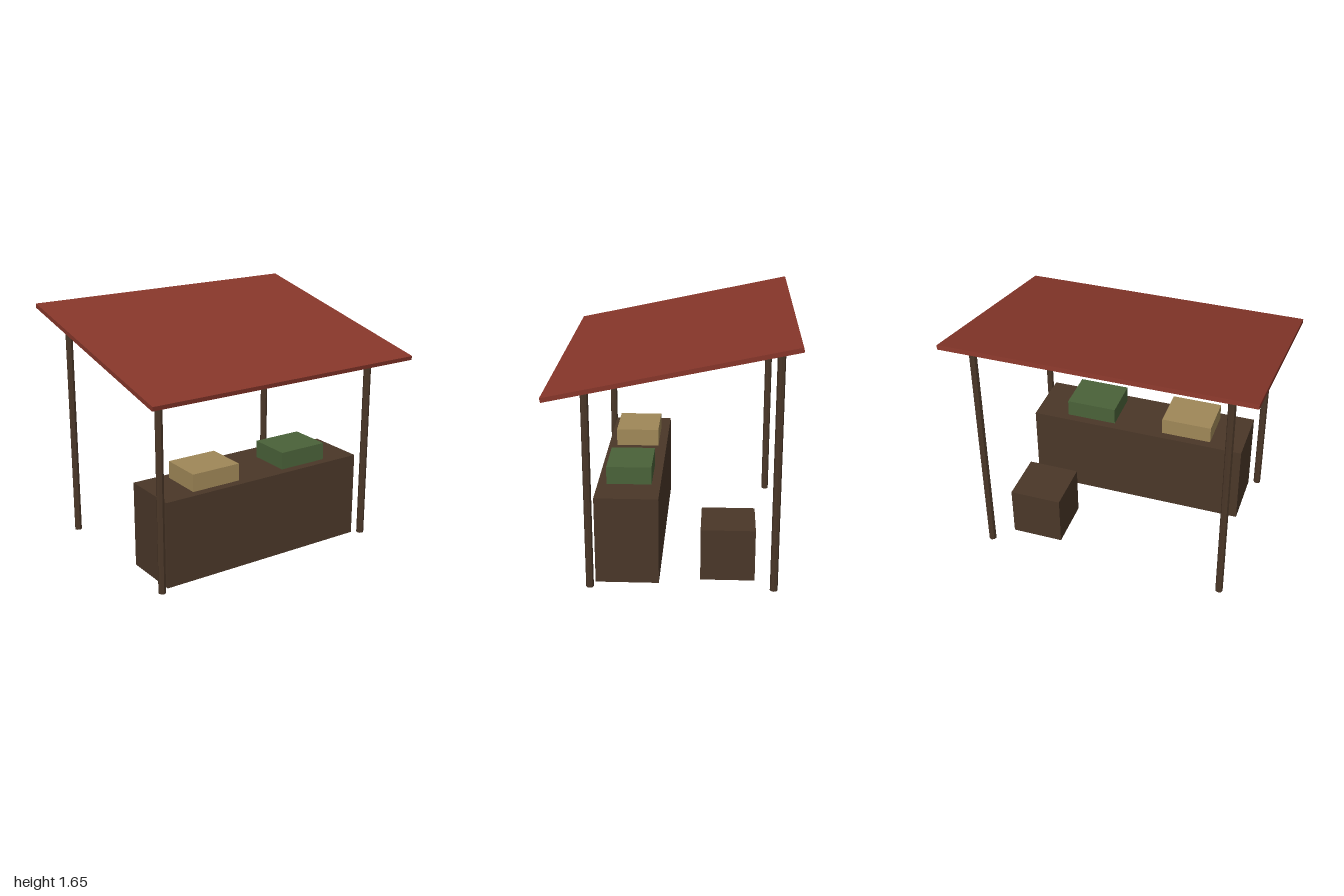
import * as THREE from 'three';

const wood = new THREE.MeshStandardMaterial({ name: 'darkWood', color: 0x4a3728 });
const red = new THREE.MeshStandardMaterial({ name: 'roofRed', color: 0x86362a });
const straw = new THREE.MeshStandardMaterial({ name: 'straw', color: 0xa08858 });
const green = new THREE.MeshStandardMaterial({ name: 'green', color: 0x4a6239 });

export function createModel() {
  const stall = new THREE.Group();
  stall.name = 'marketStall';

  const add = (name, geometry, material, x, y, z) => {
    const mesh = new THREE.Mesh(geometry, material);
    mesh.name = name;
    mesh.position.set(x, y, z);
    stall.add(mesh);
    return mesh;
  };
  // Box resting on height y
  const box = (name, material, w, h, d, x, y, z) =>
    add(name, new THREE.BoxGeometry(w, h, d), material, x, y + h / 2, z);

  // Counter, goods on top and the stool behind it
  box('counter', wood, 1.53, 0.588, 0.41, 0, 0, 0.294);
  box('strawCrate', straw, 0.353, 0.118, 0.294, -0.353, 0.588, 0.294);
  box('greenCrate', green, 0.353, 0.118, 0.294, 0.353, 0.588, 0.294);
  box('stool', wood, 0.353, 0.353, 0.353, 0.53, 0, -0.353);

  // Posts, taller at the back
  for (const side of [-1, 1]) {
    for (const [name, h, z] of [['frontPost', 1.35, 0.528], ['backPost', 1.59, -0.648]]) {
      const geometry = new THREE.CylinderGeometry(0.025, 0.025, h, 8).toNonIndexed();
      geometry.computeVertexNormals();
      add((side > 0 ? 'left ' : 'right ') + name, geometry, wood, side * 0.823, h / 2, z);
    }
  }

  // Roof sloping down to the front
  const roof = add('roof', new THREE.BoxGeometry(2, 0.029, 1.562), red, 0, 1.472, 0);
  roof.rotation.x = THREE.MathUtils.degToRad(12);

  return stall;
}
